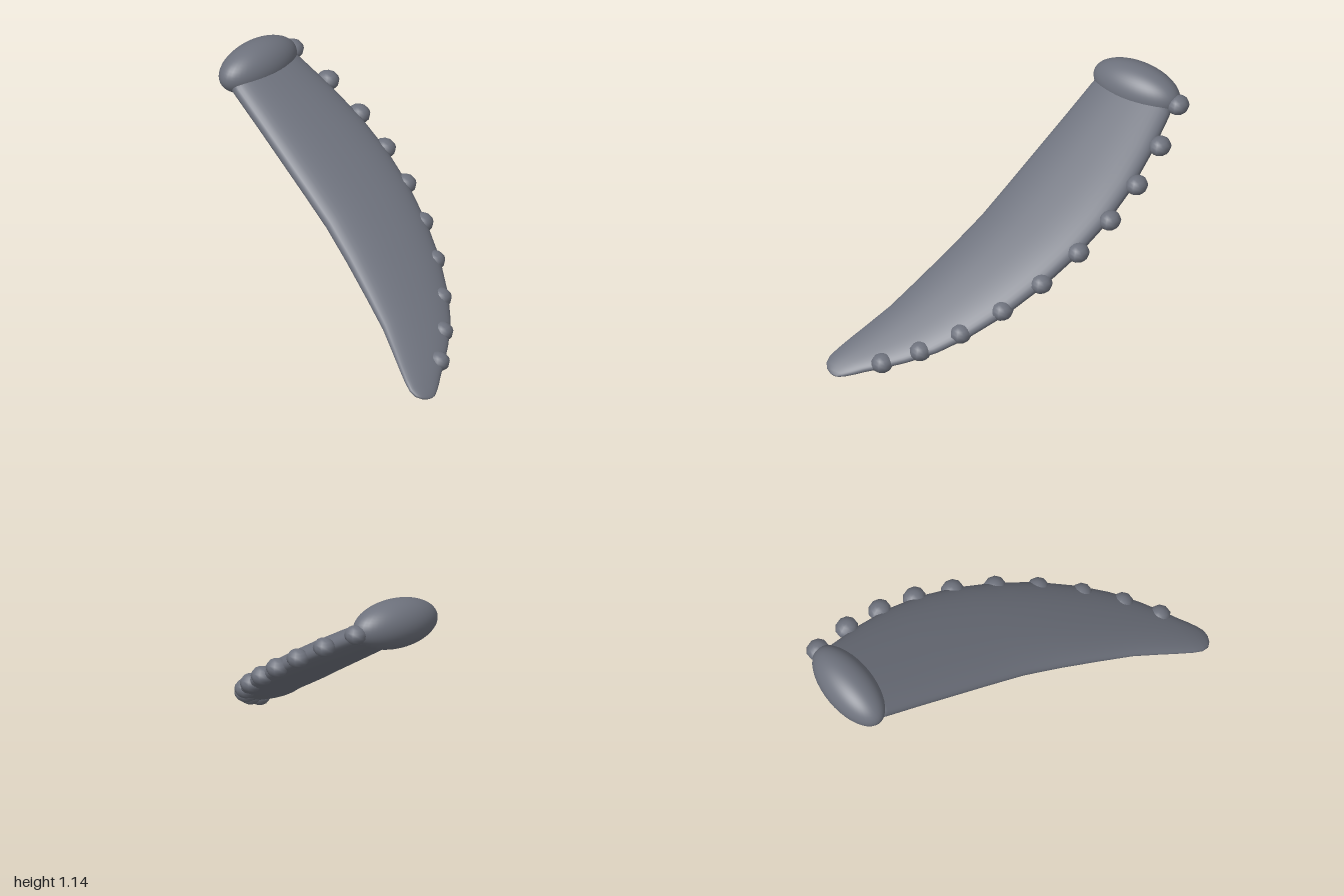
import * as THREE from 'three';

// Height of the sloping mid-plane at depth z
const planeY = (z) => 0.545 - 0.53 * z;

// Blade sections: [z, left edge x, right edge x, half thickness]
const SECTIONS = [
  [-0.88, -0.05, 0.40, 0.072], [-0.8, -0.067, 0.42, 0.075], [-0.6, -0.1, 0.447, 0.077],
  [-0.4, -0.135, 0.458, 0.079], [-0.2, -0.17, 0.442, 0.079], [0, -0.207, 0.395, 0.077],
  [0.2, -0.262, 0.322, 0.073], [0.4, -0.325, 0.222, 0.063], [0.58, -0.385, 0.1, 0.051],
  [0.7, -0.44, -0.005, 0.042], [0.8, -0.487, -0.125, 0.035], [0.87, -0.518, -0.225, 0.03],
  [0.92, -0.534, -0.305, 0.025], [0.955, -0.53, -0.355, 0.02], [0.98, -0.508, -0.395, 0.014],
  [0.995, -0.478, -0.425, 0.006],
];

// Loft of rounded sections, closed at both ends
function bladeGeometry() {
  const N = 40, pos = [], index = [];
  const slope = new THREE.Vector3(0, 1, 0.53).normalize();
  const power = (v) => Math.sign(v) * Math.pow(Math.abs(v), 0.9);
  for (const [z, left, right, thick] of SECTIONS) {
    for (let j = 0; j < N; j++) {
      const a = (j / N) * Math.PI * 2;
      const t = thick * power(Math.sin(a));
      pos.push((left + right) / 2 + ((right - left) / 2) * power(Math.cos(a)),
        planeY(z) + slope.y * t, z + slope.z * t);
    }
  }
  for (let i = 0; i < SECTIONS.length - 1; i++) {
    for (let j = 0; j < N; j++) {
      const a = i * N + j, b = i * N + ((j + 1) % N);
      index.push(a, b, b + N, a, b + N, a + N);
    }
  }
  const last = (SECTIONS.length - 1) * N;
  const root = pos.length / 3, tip = root + 1;
  pos.push(0.175, planeY(-0.88), -0.88, -0.45, planeY(1), 1);
  for (let j = 0; j < N; j++) {
    const k = (j + 1) % N;
    index.push(root, k, j, tip, last + j, last + k);
  }
  const g = new THREE.BufferGeometry();
  g.setAttribute('position', new THREE.Float32BufferAttribute(pos, 3));
  g.setIndex(index);
  g.computeVertexNormals();
  return g;
}

export function createModel() {
  const group = new THREE.Group();
  group.name = 'flipper';
  const skin = new THREE.MeshStandardMaterial({ color: 0x6e727d });
  skin.name = 'slate grey skin';

  const add = (name, geometry) => {
    const mesh = new THREE.Mesh(geometry, skin);
    mesh.name = name;
    group.add(mesh);
    return mesh;
  };

  add('blade', bladeGeometry());

  // Rounded shoulder joint at the root
  const shoulder = add('shoulder', new THREE.SphereGeometry(1, 40, 28));
  shoulder.scale.set(0.26, 0.131, 0.131);
  shoulder.position.set(0.172, 1.018, -0.869);

  // Row of knobs along the leading edge: [x, z]
  const knobs = [
    [0.432, -0.87], [0.47, -0.65], [0.475, -0.43], [0.45, -0.22], [0.392, -0.015],
    [0.303, 0.195], [0.19, 0.39], [0.053, 0.57], [-0.095, 0.725], [-0.25, 0.85],
  ];
  const knobGeometry = new THREE.SphereGeometry(1, 10, 8);
  knobs.forEach(([x, z], i) => {
    const knob = add(`knob${i + 1}`, knobGeometry);
    knob.scale.set(0.058, 0.051, 0.063);
    knob.position.set(x, planeY(z), z);
  });

  return group;
}
